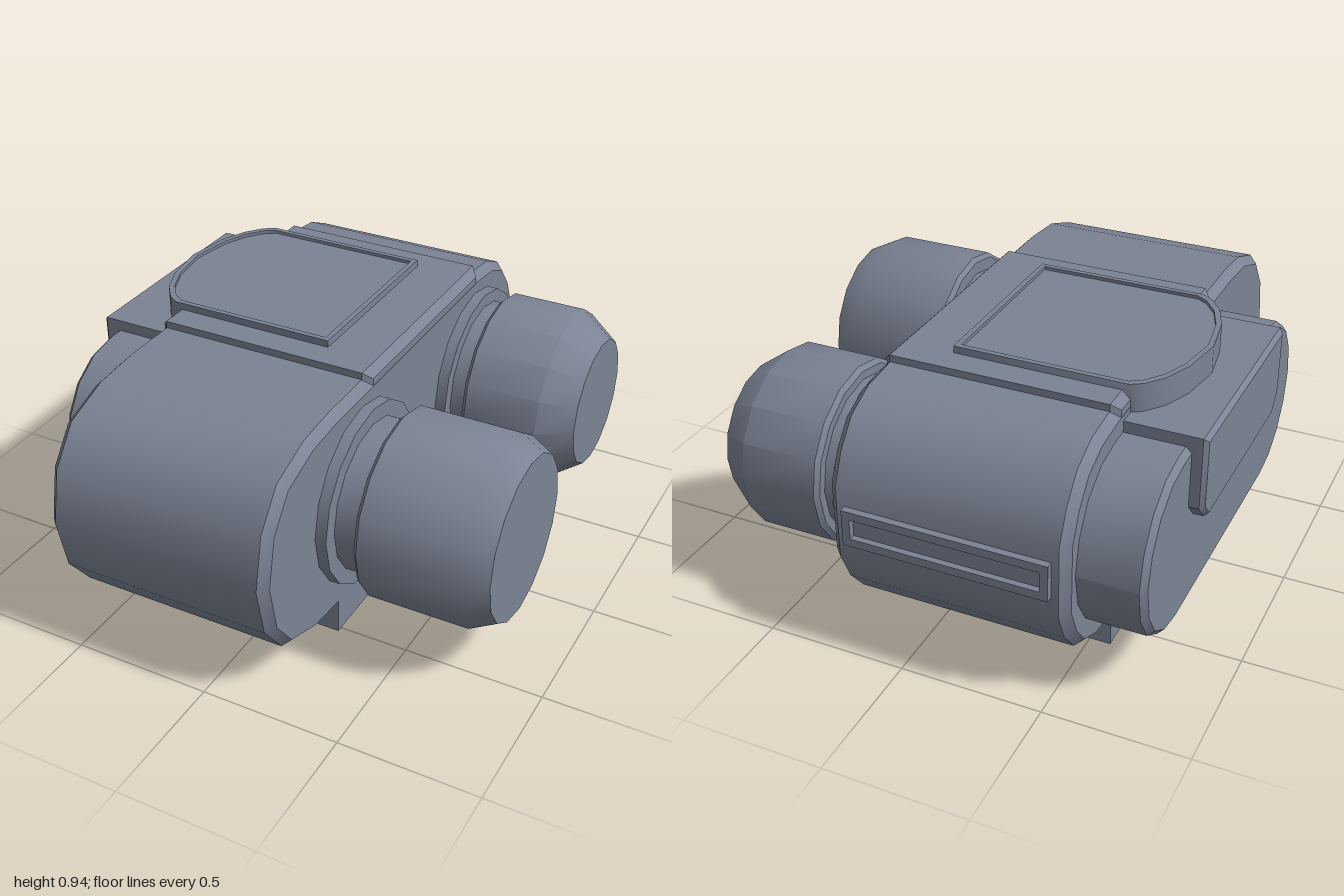
import * as THREE from 'three';
import { toCreasedNormals } from 'three/addons/utils/BufferGeometryUtils.js';

const slate = new THREE.MeshStandardMaterial({ color: 0x7b8394 });
slate.name = 'slate';

function addPart(group, name, geometry, crease = 0.65) {
  const mesh = new THREE.Mesh(toCreasedNormals(geometry, crease), slate);
  mesh.name = name;
  group.add(mesh);
  return mesh;
}

// Extrudes a [z, y] outline along x from x0 to x1, chamfering both ends
function extrudeX(outline, x0, x1, bevel) {
  const shape = new THREE.Shape(outline.map(([z, y]) => new THREE.Vector2(-z, y)));
  const geometry = new THREE.ExtrudeGeometry(shape, {
    depth: x1 - x0 - 2 * bevel,
    bevelEnabled: bevel > 0,
    bevelThickness: bevel,
    bevelSize: bevel,
    bevelOffset: -bevel,
    bevelSegments: 1,
  });
  return geometry.rotateY(Math.PI / 2).translate(x0 + bevel, 0, 0);
}

// Turned part along x, from [x, radius] pairs
function turnX(profile, z) {
  const points = profile.map(([x, r]) => new THREE.Vector2(r, x));
  return new THREE.LatheGeometry(points, 16).rotateZ(-Math.PI / 2).translate(0, 0.5, z);
}

// Completes an upper outline by mirroring it below a centre height
const mirrorY = (upper, mid) =>
  upper.concat(upper.filter(([, y]) => y - mid > 0.001).reverse().map(([z, y]) => [z, 2 * mid - y]));

function boxBetween(x0, x1, y0, y1, z0, z1) {
  return new THREE.BoxGeometry(x1 - x0, y1 - y0, z1 - z0)
    .translate((x0 + x1) / 2, (y0 + y1) / 2, (z0 + z1) / 2);
}

function inset(shapePoints, cx, cy, sx, sy) {
  return shapePoints.map((p) => new THREE.Vector2(cx + (p.x - cx) * sx, cy + (p.y - cy) * sy));
}

// Rim with a recessed floor, drawn in xy and extruded along +z
function recessedPanel(group, name, points, innerPoints, height, recess) {
  const panel = new THREE.Group();
  panel.name = name;
  const rim = new THREE.Shape(points);
  rim.holes.push(new THREE.Path(innerPoints));
  addPart(panel, name + 'Rim', new THREE.ExtrudeGeometry(rim, { depth: height, bevelEnabled: false }));
  addPart(panel, name + 'Floor', new THREE.ExtrudeGeometry(new THREE.Shape(innerPoints),
    { depth: height - recess, bevelEnabled: false }));
  group.add(panel);
  return panel;
}

export function createModel() {
  const model = new THREE.Group();
  model.name = 'binocularDevice';

  // Main housing with rounded front and back
  const housing = mirrorY([
    [1, 0.5], [0.96, 0.69], [0.86, 0.82], [0.69, 0.88], [0.52, 0.895],
    [-0.6, 0.895], [-0.74, 0.88], [-0.85, 0.83], [-0.925, 0.74], [-0.975, 0.63],
  ], 0.5);
  addPart(model, 'housing', extrudeX(housing, -0.575, 0.25, 0.03));

  // Raised deck and foot
  addPart(model, 'deck', extrudeX([[0.3, 0.6], [0.3, 0.92], [-0.6, 0.92], [-0.6, 0.6]],
    -0.574, 0.249, 0.028));
  addPart(model, 'foot', boxBetween(-0.574, 0.249, 0, 0.3, -0.6, 0.52));

  // Side slab with rounded ends
  const slab = mirrorY([
    [0.61, 0.5], [0.585, 0.62], [0.52, 0.72], [0.42, 0.785], [0.31, 0.805],
    [-0.62, 0.805], [-0.73, 0.785], [-0.83, 0.72], [-0.895, 0.62], [-0.92, 0.5],
  ], 0.4975);
  addPart(model, 'sideSlab', extrudeX(slab, -0.8, -0.5, 0.02));

  // Block standing out of the slab, with clipped lower corners
  addPart(model, 'sideBlock', extrudeX([
    [0.26, 0.845], [0.26, 0.59], [0.2, 0.53], [-0.5, 0.53], [-0.555, 0.59], [-0.555, 0.845],
  ], -0.85, -0.5, 0.015));

  // Top pad, straight on one side and bowed on the other
  const pad = [
    [0.04, -0.2], [0.04, 0.5], [-0.57, 0.5], [-0.61, 0.475], [-0.66, 0.41], [-0.7, 0.31],
    [-0.725, 0.15], [-0.7, -0.01], [-0.66, -0.11], [-0.61, -0.175], [-0.57, -0.2],
  ].map(([x, y]) => new THREE.Vector2(x, y));
  const topPad = recessedPanel(model, 'topPad', pad, inset(pad, -0.34, 0.15, 0.95, 0.945), 0.1, 0.012);
  topPad.rotation.x = -Math.PI / 2;
  topPad.position.y = 0.845;

  // Narrow recessed frame on the back
  const frame = [[-0.19, 0.44], [0.52, 0.44], [0.52, 0.57], [-0.19, 0.57]]
    .map(([x, y]) => new THREE.Vector2(x, y));
  const backFrame = recessedPanel(model, 'backFrame', frame,
    inset(frame, 0.165, 0.505, 0.92, 0.55), 0.035, 0.022);
  backFrame.rotation.y = Math.PI;
  backFrame.position.z = -0.965;

  // Two barrels: collar, neck and head
  const barrels = [
    { name: 'frontBarrel', z: 0.352, neck: 0.272, start: 0.385, head: 0.334, shoulder: 0.76, end: 0.845, cap: 0.29 },
    { name: 'backBarrel', z: -0.563, neck: 0.28, start: 0.35, head: 0.325, shoulder: 0.64, end: 0.76, cap: 0.24 },
  ];
  for (const b of barrels) {
    const barrel = new THREE.Group();
    barrel.name = b.name;
    addPart(barrel, 'collar', turnX([[0.2, 0], [0.2, 0.328], [0.29, 0.328], [0.29, 0]], b.z));
    addPart(barrel, 'neck', turnX([[0.27, b.neck], [b.start + 0.02, b.neck]], b.z));
    addPart(barrel, 'head', turnX([
      [b.start, 0], [b.start, b.head - 0.015], [b.start + 0.015, b.head],
      [b.shoulder, b.head], [b.end, b.cap], [b.end, 0],
    ], b.z), 0.7);
    model.add(barrel);
  }

  return model;
}
